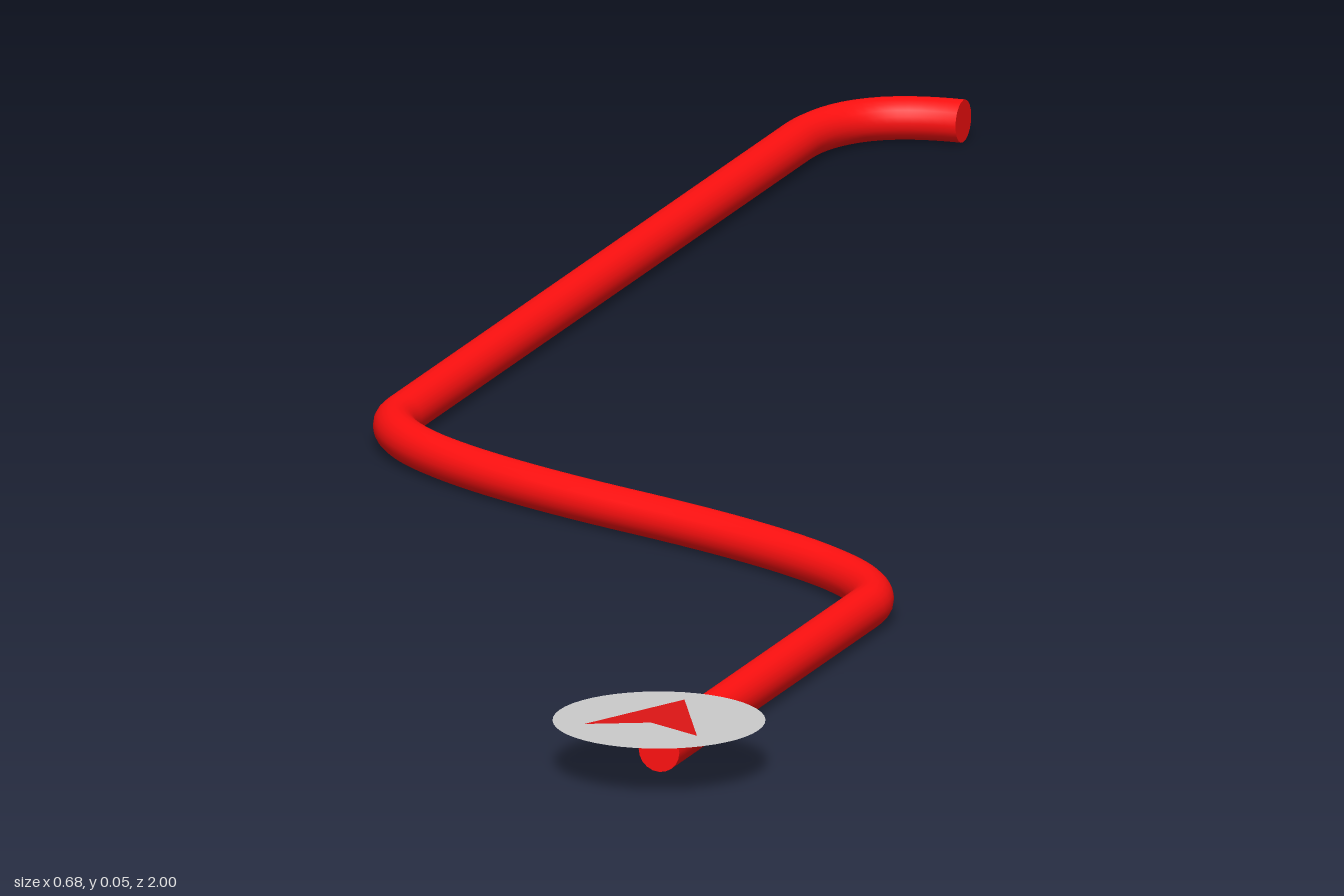
import * as THREE from 'three';

const TUBE_R = 0.018;
const BASE = new THREE.Vector2(0.25, 0.912); // x, z of the start marker

function add(group, name, geometry, material) {
  const mesh = new THREE.Mesh(geometry, material);
  mesh.name = name;
  group.add(mesh);
  return mesh;
}

export function createModel() {
  const group = new THREE.Group();
  group.name = 'pathMarker';
  const red = new THREE.MeshStandardMaterial({ color: 0xff1010 });
  const arrowRed = new THREE.MeshStandardMaterial({ color: 0xdd1515, side: THREE.DoubleSide });
  const grey = new THREE.MeshStandardMaterial({ color: 0xcccccc, side: THREE.DoubleSide });

  // Path centreline on the ground: straight, S-bend, straight, hook
  const p = (x, z) => new THREE.Vector3(x, TUBE_R, z);
  const path = new THREE.CurvePath();
  const line = (a, b) => path.add(new THREE.LineCurve3(a, b));
  const bend = (a, c, b) => path.add(new THREE.QuadraticBezierCurve3(a, c, b));
  const left = BASE.x, right = -0.322, midX = (left + right) / 2;
  line(p(left, BASE.y), p(left, 0.44));
  bend(p(left, 0.44), p(left, 0.338), p(midX, 0.235));
  bend(p(midX, 0.235), p(right, 0.132), p(right, 0.03));
  line(p(right, 0.03), p(right, -0.87));
  bend(p(right, -0.87), p(right, -0.982), p(-0.217, -0.982));
  add(group, 'pathTube', new THREE.TubeGeometry(path, 200, TUBE_R, 20, false), red);

  // Flat caps closing both tube ends
  for (const [name, t, sign] of [['startCap', 0, -1], ['endCap', 1, 1]]) {
    const cap = add(group, name, new THREE.CircleGeometry(TUBE_R, 20), red);
    const at = path.getPointAt(t);
    cap.position.copy(at);
    cap.lookAt(at.clone().addScaledVector(path.getTangentAt(t), sign));
  }

  // Thin round plate floating over the start of the path
  const disc = add(group, 'markerDisc', new THREE.CircleGeometry(0.088, 48), grey);
  disc.rotation.x = -Math.PI / 2;
  disc.position.set(BASE.x, 0.0445, BASE.y);

  // Flat notched arrow pointing along the path, in two mirrored halves
  const arrow = new THREE.Group();
  arrow.name = 'directionArrow';
  for (const s of [-1, 1]) {
    const half = new THREE.Shape();
    half.moveTo(0, 0.05);
    half.lineTo(s * 0.05, -0.05);
    half.lineTo(0, -0.026);
    half.closePath();
    add(arrow, s > 0 ? 'arrowLeftHalf' : 'arrowRightHalf', new THREE.ShapeGeometry(half), arrowRed);
  }
  arrow.rotation.x = -Math.PI / 2;
  arrow.position.set(BASE.x, 0.047, BASE.y - 0.008);
  group.add(arrow);

  return group;
}
